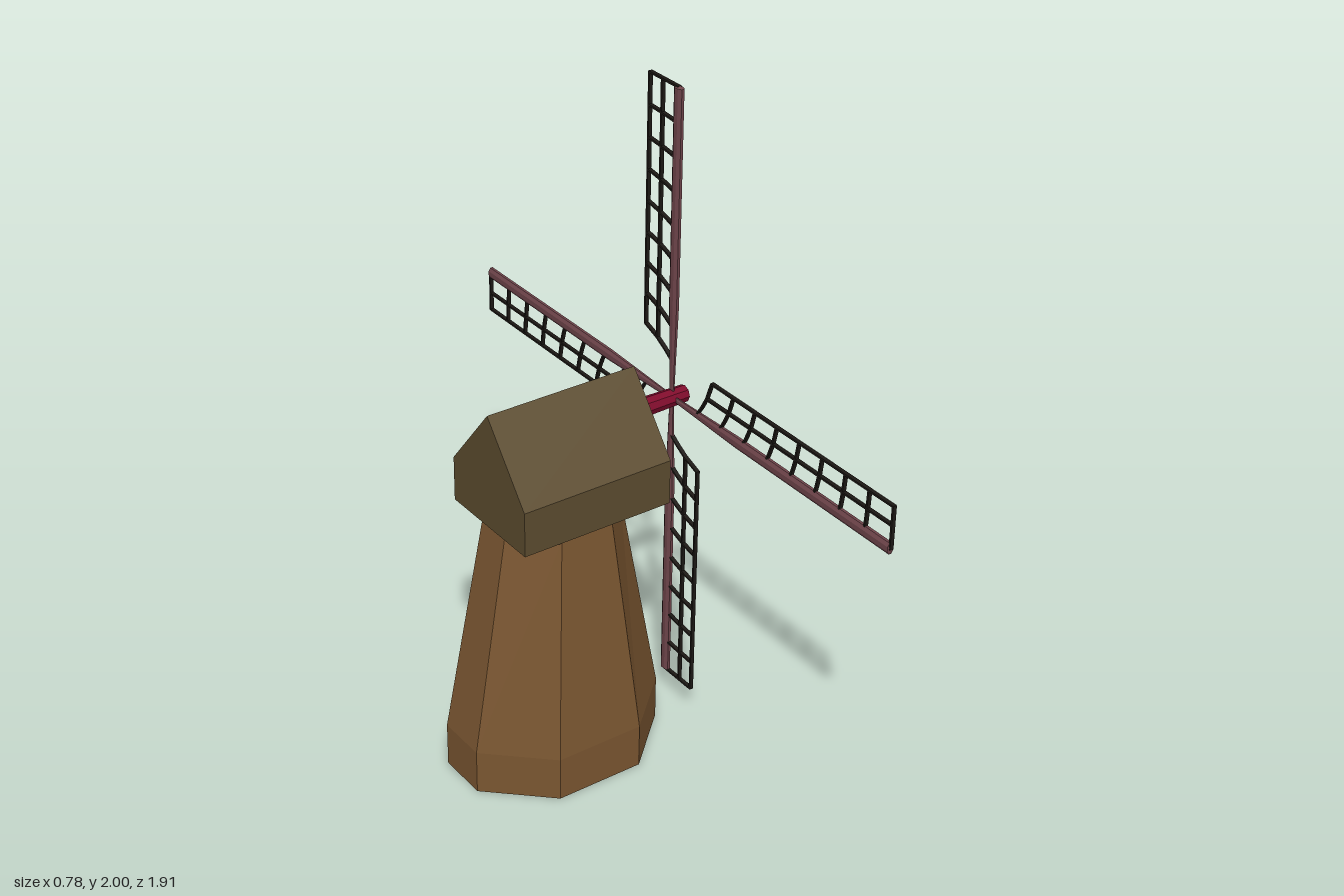
import * as THREE from 'three';
import { mergeGeometries } from 'three/addons/utils/BufferGeometryUtils.js';

const HUB = new THREE.Vector3(0.345, 1.045, 0);

const material = (color, side = THREE.FrontSide) =>
  new THREE.MeshStandardMaterial({ color, flatShading: true, side });

function addMesh(parent, name, geometry, mat) {
  const mesh = new THREE.Mesh(geometry, mat);
  mesh.name = name;
  parent.add(mesh);
  return mesh;
}

// Chamfered rectangle: half sizes hx, hz; flats end at cx, cz
const octagon = (hx, hz, cx, cz) => [
  [hx, -cz], [hx, cz], [cx, hz], [-cx, hz], [-hx, cz], [-hx, -cz], [-cx, -hz], [cx, -hz],
];

// Open eight-sided wall through a stack of octagon rings
function towerGeometry() {
  const rings = [
    [0, octagon(0.32, 0.245, 0.14, 0.08)],
    [0.14, octagon(0.32, 0.245, 0.14, 0.08)],
    [0.83, octagon(0.195, 0.175, 0.085, 0.057)],
  ];
  const positions = [];
  const index = [];
  rings.forEach(([y, ring]) => ring.forEach(([x, z]) => positions.push(x - 0.07, y, z)));
  for (let r = 0; r < rings.length - 1; r++) {
    for (let i = 0; i < 8; i++) {
      const a = r * 8 + i;
      const b = r * 8 + (i + 1) % 8;
      index.push(a, a + 8, b, b, a + 8, b + 8);
    }
  }
  const geometry = new THREE.BufferGeometry();
  geometry.setAttribute('position', new THREE.Float32BufferAttribute(positions, 3));
  geometry.setIndex(index);
  geometry.computeVertexNormals();
  return geometry;
}

// Gabled cap with its ridge along x
function capGeometry() {
  const gable = new THREE.Shape([
    [-0.18, 0.83], [0.18, 0.83], [0.18, 0.97], [0, 1.19], [-0.18, 0.97],
  ].map(([x, y]) => new THREE.Vector2(x, y)));
  return new THREE.ExtrudeGeometry(gable, { depth: 0.49, bevelEnabled: false })
    .rotateY(Math.PI / 2).translate(-0.28, 0, 0);
}

// Thin lath between two points [offset from stock, distance from hub]
function lath([w0, r0], [w1, r1]) {
  const length = Math.hypot(w1 - w0, r1 - r0);
  return new THREE.BoxGeometry(0.012, 0.006, length + 0.004)
    .rotateX(Math.atan2(r1 - r0, w1 - w0))
    .translate(0, (r0 + r1) / 2, -(w0 + w1) / 2);
}

// Lattice of rails and slanted cross laths, leaning more towards the hub
function latticeGeometry() {
  const offsets = [0, 0.035, 0.072, 0.13];
  const bars = 9;
  const point = (i, w) => {
    const t = i / (bars - 1);
    return [w, 0.952 - 0.767 * t - 0.065 * t * Math.pow(1 - w / 0.13, 1.4)];
  };
  const parts = [];
  for (let i = 0; i < bars; i++) {
    for (let k = 0; k < offsets.length - 1; k++) {
      parts.push(lath(point(i, offsets[k]), point(i, offsets[k + 1])));
    }
  }
  for (const w of [0.072, 0.13]) parts.push(lath(point(0, w), point(bars - 1, w)));
  return mergeGeometries(parts);
}

// Stock: slim at the hub, widening to a constant flattened section
function stockGeometry() {
  const profile = [[0, 0], [0.008, 0], [0.018, 0.3], [0.018, 0.95], [0, 0.955]]
    .map(([r, y]) => new THREE.Vector2(r, y));
  return new THREE.LatheGeometry(profile, 8).rotateY(Math.PI / 8).scale(0.62, 1, 1.05);
}

export function createModel() {
  const model = new THREE.Group();
  model.name = 'windmill';

  addMesh(model, 'tower', towerGeometry(), material(0x7a5631, THREE.DoubleSide));
  addMesh(model, 'cap', capGeometry(), material(0x5c4c2f));

  // Windshaft, tapering outwards
  const shaft = new THREE.CylinderGeometry(0.026, 0.031, 0.24, 8).rotateZ(-Math.PI / 2);
  addMesh(model, 'windshaft', shaft, material(0x800a2c)).position.set(0.27, HUB.y, 0);

  // Four sails around the hub
  const stock = stockGeometry();
  const lattice = latticeGeometry();
  const stockMaterial = material(0x6e444a);
  const latticeMaterial = material(0x1c1814);
  const sails = new THREE.Group();
  sails.name = 'sails';
  sails.position.copy(HUB);
  for (let i = 0; i < 4; i++) {
    const sail = new THREE.Group();
    sail.name = 'sail';
    addMesh(sail, 'stock', stock, stockMaterial);
    addMesh(sail, 'lattice', lattice, latticeMaterial);
    sail.rotation.x = i * Math.PI / 2;
    sails.add(sail);
  }
  model.add(sails);
  return model;
}
